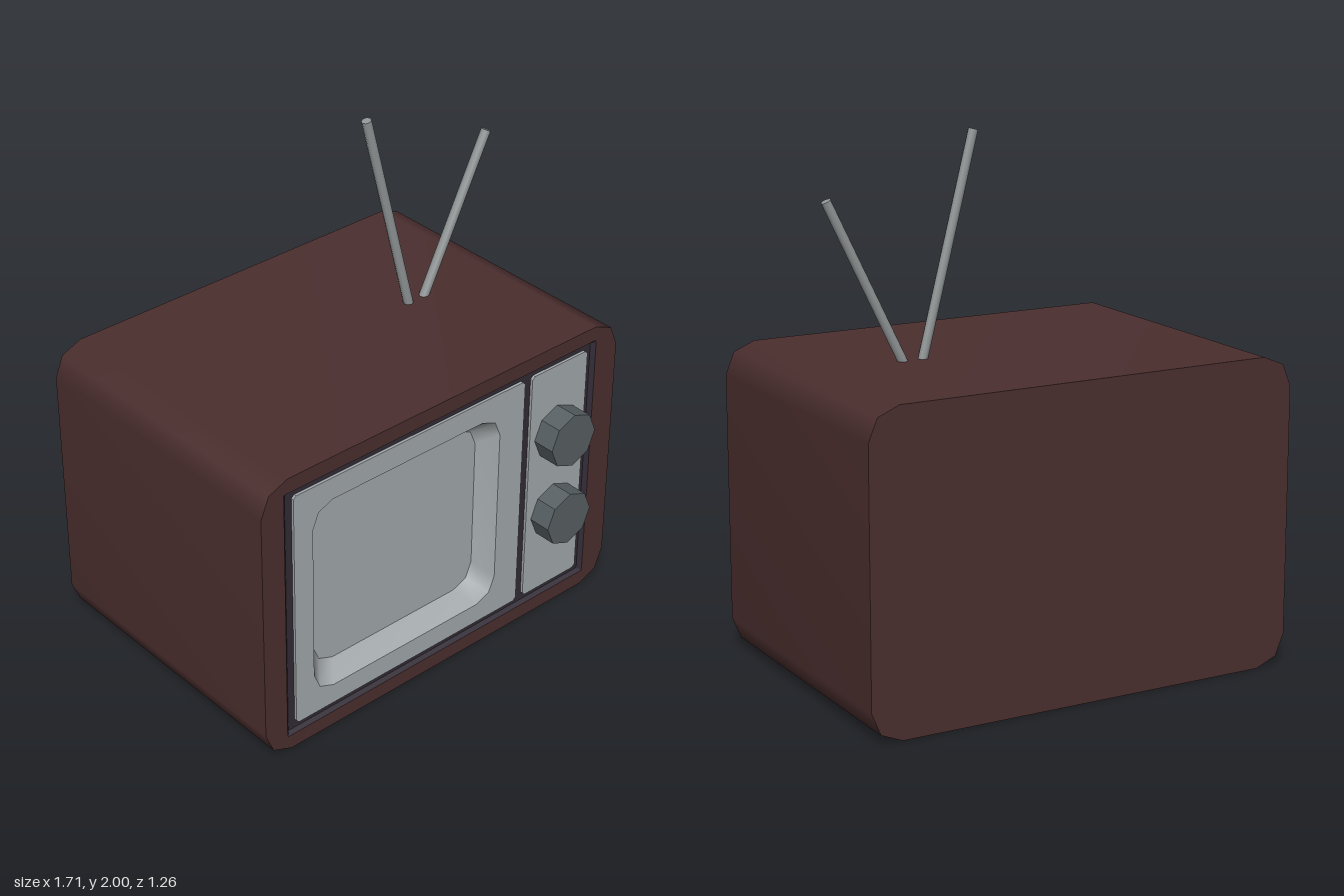
import * as THREE from 'three';

const mat = (name, color) => new THREE.MeshStandardMaterial({ name, color });

// Outline of a rectangle with rounded corners, counter-clockwise
function outline(x0, x1, y0, y1, r, steps) {
  const pts = [];
  const corners = [[x1 - r, y0 + r], [x1 - r, y1 - r], [x0 + r, y1 - r], [x0 + r, y0 + r]];
  corners.forEach(([cx, cy], c) => {
    for (let i = 0; i <= steps; i++) {
      const a = (c - 1 + i / steps) * Math.PI / 2;
      pts.push(new THREE.Vector2(cx + r * Math.cos(a), cy + r * Math.sin(a)));
    }
  });
  return pts;
}

// Smooth wall between two outlines; faces outward when z1 > z0, inward otherwise
function wall(a, z0, b, z1) {
  const n = a.length, pos = [], idx = [];
  a.forEach(p => pos.push(p.x, p.y, z0));
  b.forEach(p => pos.push(p.x, p.y, z1));
  for (let i = 0; i < n; i++) {
    const j = (i + 1) % n;
    idx.push(i, j, n + j, i, n + j, n + i);
  }
  const g = new THREE.BufferGeometry();
  g.setAttribute('position', new THREE.Float32BufferAttribute(pos, 3));
  g.setIndex(idx);
  g.computeVertexNormals();
  return g;
}

function shapeOf(pts, hole) {
  const s = new THREE.Shape(pts);
  if (hole) s.holes.push(new THREE.Path(hole));
  return s;
}

export function createModel() {
  const root = new THREE.Group();
  root.name = 'television';
  const brown = mat('cabinet brown', 0x4b2e2e);
  const dark = mat('frame dark', 0x322c36);
  const grey = mat('panel grey', 0xa3a9ab);
  const knobGrey = mat('knob grey', 0x586063);
  const metal = mat('antenna metal', 0x929797);

  const add = (name, geometry, material, parent = root) => {
    const m = new THREE.Mesh(geometry, material);
    m.name = name;
    parent.add(m);
    return m;
  };
  const flat = (pts, z, hole) => new THREE.ShapeGeometry(shapeOf(pts, hole)).translate(0, 0, z);

  const BACK = -0.63, FRONT = 0.545, FRAME = 0.53, PANEL = 0.541, SCREEN = 0.47;
  const body = outline(-0.855, 0.855, 0, 1.18, 0.118, 2);
  const opening = outline(-0.755, 0.745, 0.06, 1.12, 0.004, 1);
  const frameInner = outline(-0.74, 0.73, 0.072, 1.108, 0.004, 1);
  const screenOuter = outline(-0.625, 0.265, 0.18, 1.0, 0.09, 2);
  const screenInner = outline(-0.57, 0.21, 0.235, 0.95, 0.09, 2);

  // Cabinet
  const cabinet = new THREE.Group();
  cabinet.name = 'cabinet';
  root.add(cabinet);
  add('cabinetSides', wall(body, BACK, body, FRONT), brown, cabinet);
  add('cabinetFront', flat(body, FRONT, opening), brown, cabinet);
  add('cabinetBack', new THREE.ShapeGeometry(shapeOf(body)).rotateY(Math.PI).translate(0, 0, BACK), brown, cabinet);

  // Dark frame set into the cabinet front
  add('frameEdge', wall(opening, FRONT, frameInner, FRAME), dark);
  add('framePlate', flat(frameInner, FRAME, screenOuter), dark);

  // Screen and control panels
  const plate = (pts, hole) => new THREE.ExtrudeGeometry(shapeOf(pts, hole),
    { depth: PANEL - FRAME, bevelEnabled: false }).translate(0, 0, FRAME);
  add('screenPanel', plate(outline(-0.71, 0.385, 0.097, 1.09, 0.012, 1), screenOuter), grey);
  add('controlPanel', plate(outline(0.422, 0.706, 0.097, 1.09, 0.012, 1)), grey);

  // Sunken screen with sloped surround
  add('screenSurround', wall(screenOuter, PANEL, screenInner, SCREEN), grey);
  add('screen', flat(screenInner, SCREEN), grey);

  // Octagonal knobs
  const knob = new THREE.CylinderGeometry(0.112, 0.112, 0.1, 8).toNonIndexed();
  knob.rotateX(Math.PI / 2);
  knob.computeVertexNormals();
  [['upperKnob', 0.80], ['lowerKnob', 0.445]].forEach(([name, y]) =>
    add(name, knob, knobGrey).position.set(0.56, y, 0.582));

  // Antenna rods
  const rod = (name, from, to) => {
    const a = new THREE.Vector3(...from), b = new THREE.Vector3(...to);
    const d = b.clone().sub(a);
    const m = add(name, new THREE.CylinderGeometry(0.019, 0.019, d.length(), 8), metal);
    m.position.copy(a).add(b).multiplyScalar(0.5);
    m.quaternion.setFromUnitVectors(new THREE.Vector3(0, 1, 0), d.normalize());
  };
  rod('rightAntenna', [0.343, 1.16, -0.038], [0.137, 1.995, -0.052]);
  rod('leftAntenna', [0.412, 1.16, -0.042], [0.712, 1.776, -0.036]);

  return root;
}
